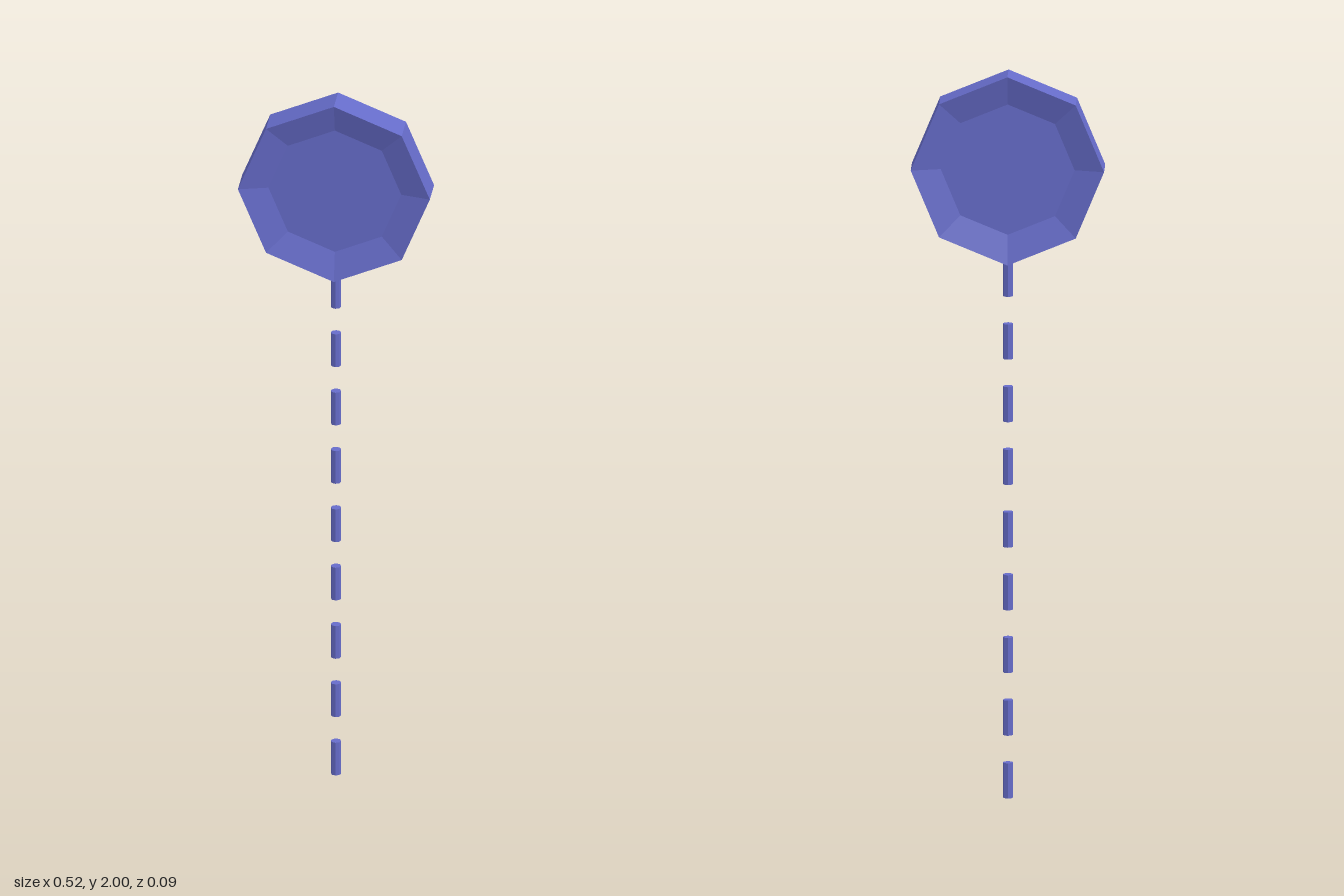
import * as THREE from 'three';

export function createModel() {
  const group = new THREE.Group();
  const material = new THREE.MeshStandardMaterial({ color: 0x666cca, flatShading: true });

  // Octagonal head, dished on both faces
  const profile = [[0, -0.025], [0.18, -0.025], [0.26, -0.046], [0.26, 0.046], [0.18, 0.025], [0, 0.025]]
    .map(([r, y]) => new THREE.Vector2(r, y));
  const head = new THREE.Mesh(new THREE.LatheGeometry(profile, 8).rotateX(-Math.PI / 2), material);
  head.name = 'octagonHead';
  head.position.y = 1.74;
  group.add(head);

  // Dashed stem: evenly spaced short rods
  const stem = new THREE.Group();
  stem.name = 'dashedStem';
  const length = 0.097, pitch = 0.1732;
  const rod = new THREE.CylinderGeometry(0.014, 0.014, length, 8);
  for (let i = 0; i < 9; i++) {
    const dash = new THREE.Mesh(rod, material);
    dash.name = 'stemDash';
    dash.position.y = length / 2 + i * pitch;
    stem.add(dash);
  }
  group.add(stem);
  return group;
}
